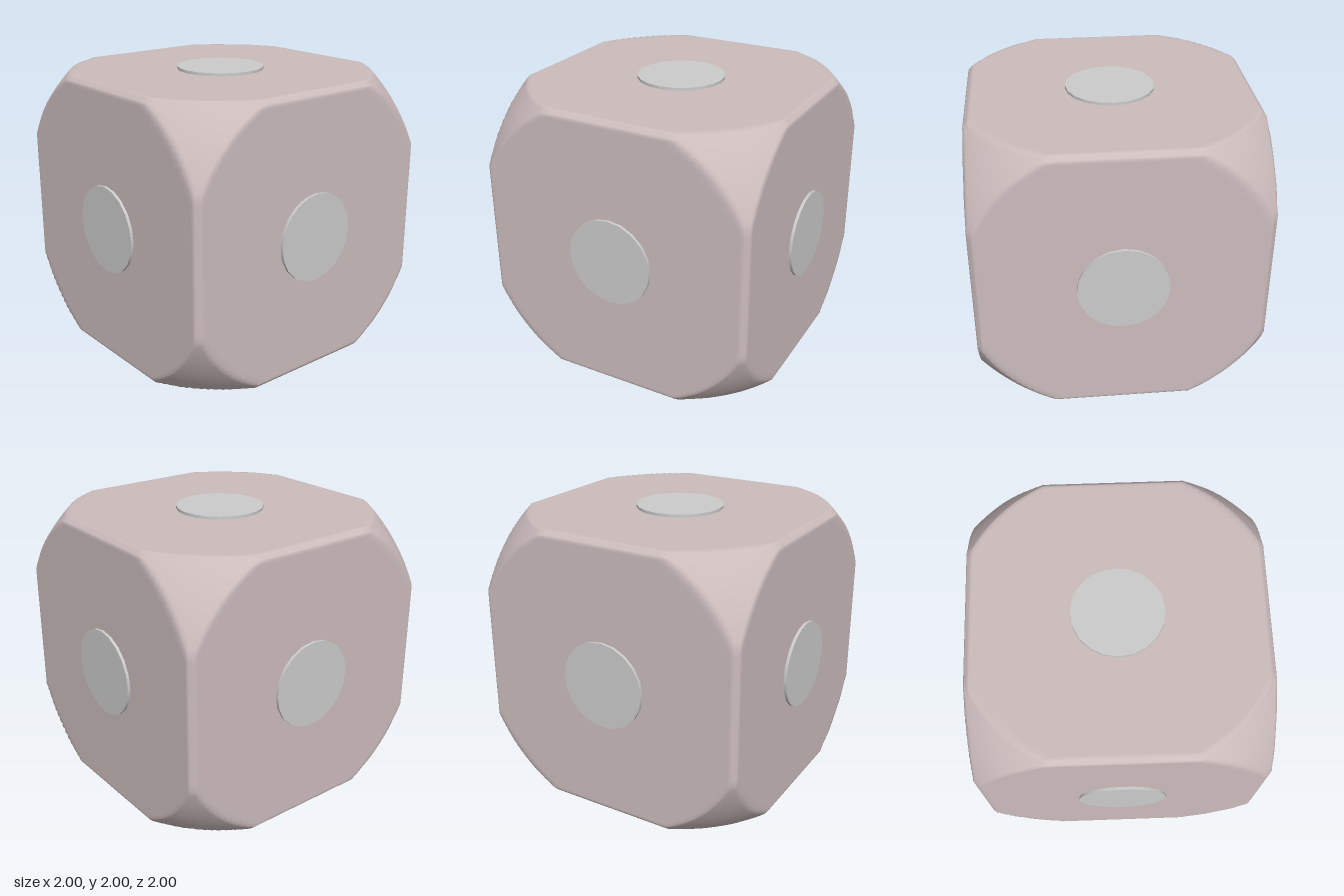
import * as THREE from 'three';
import { mergeVertices } from 'three/addons/utils/BufferGeometryUtils.js';

const HALF = 0.98;    // distance from centre to each face
const ROUND = 1.44;   // sphere that trims the corners
const BEVEL = 1.925;  // edge bevel planes: |a| + |b| <= BEVEL

// Cube trimmed by a sphere and narrow edge bevels
function bodyGeometry(n) {
  let geo = new THREE.BoxGeometry(2, 2, 2, n, n, n);
  geo.deleteAttribute('uv');
  geo.deleteAttribute('normal');
  geo = mergeVertices(geo);
  const pos = geo.attributes.position;
  const p = new THREE.Vector3();
  const ease = (t) => Math.sin(t * Math.PI / 2); // finer grid near the edges
  for (let i = 0; i < pos.count; i++) {
    p.fromBufferAttribute(pos, i);
    p.set(ease(p.x), ease(p.y), ease(p.z)).normalize();
    const [c, b, a] = [p.x, p.y, p.z].map(Math.abs).sort((u, v) => u - v);
    p.multiplyScalar(Math.min(HALF / a, BEVEL / (a + b), ROUND));
    pos.setXYZ(i, p.x, p.y, p.z);
  }
  geo.computeVertexNormals();
  return geo;
}

export function createModel() {
  const model = new THREE.Group();
  model.name = 'roundedDie';

  const body = new THREE.Mesh(
    bodyGeometry(56),
    new THREE.MeshStandardMaterial({ color: 0xccbcbc })
  );
  body.name = 'body';
  body.position.y = 1;
  model.add(body);

  // One raised round disc in the middle of each face
  const discMaterial = new THREE.MeshStandardMaterial({ color: 0xcccccc });
  const discGeometry = new THREE.CylinderGeometry(0.305, 0.305, 0.06, 20);
  const up = new THREE.Vector3(0, 1, 0);
  const faces = {
    left: [1, 0, 0], right: [-1, 0, 0],
    top: [0, 1, 0], bottom: [0, -1, 0],
    front: [0, 0, 1], back: [0, 0, -1],
  };
  for (const [name, dir] of Object.entries(faces)) {
    const normal = new THREE.Vector3(...dir);
    const disc = new THREE.Mesh(discGeometry, discMaterial);
    disc.name = name + 'Disc';
    disc.quaternion.setFromUnitVectors(up, normal);
    disc.position.copy(normal).multiplyScalar(0.97).add(up);
    model.add(disc);
  }
  return model;
}
